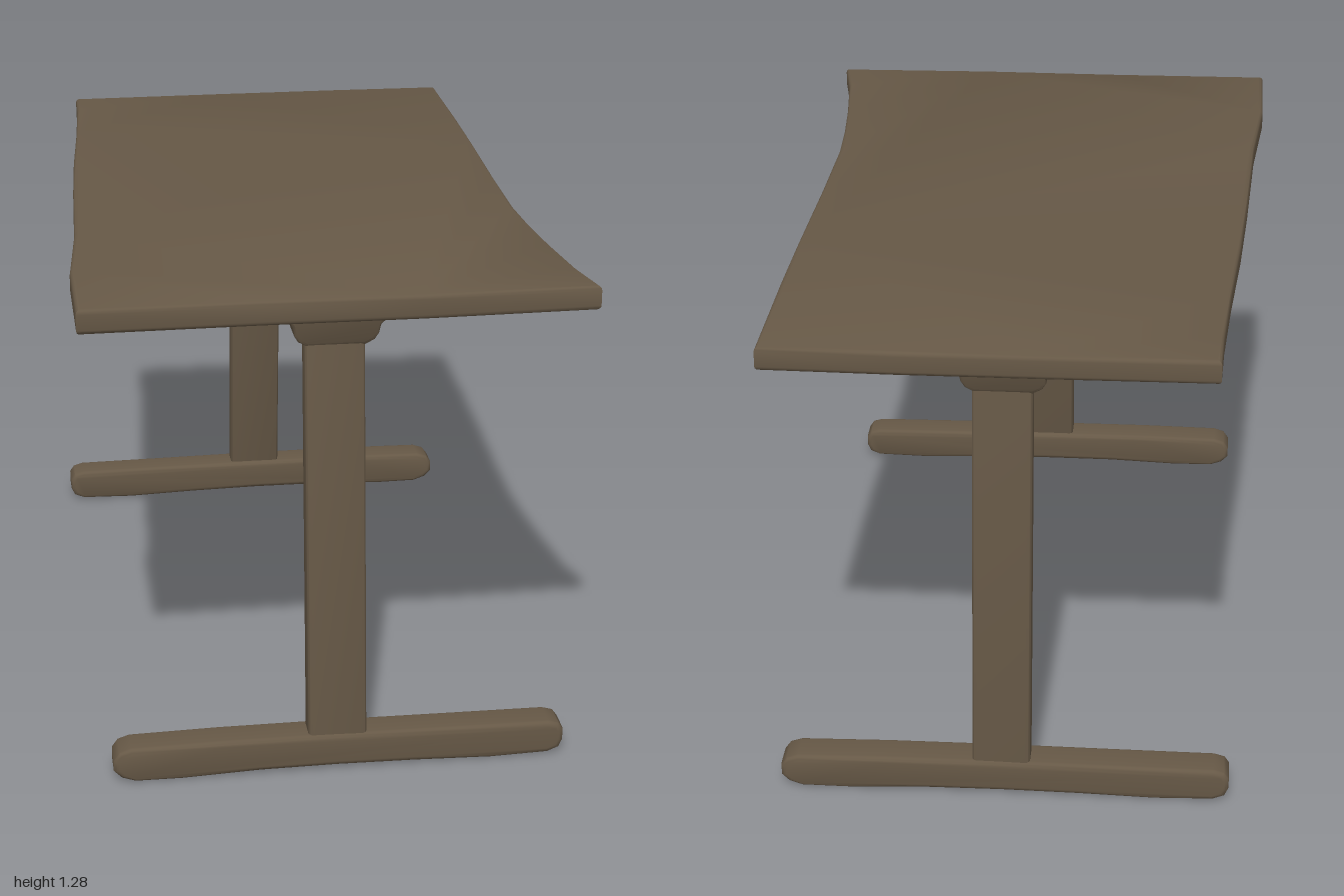
import * as THREE from 'three';
import { toCreasedNormals } from 'three/addons/utils/BufferGeometryUtils.js';
import { RoundedBoxGeometry } from 'three/addons/geometries/RoundedBoxGeometry.js';

const wood = new THREE.MeshStandardMaterial({ color: 0x665846 });
wood.name = 'brown wood';

function part(name, geometry) {
  const mesh = new THREE.Mesh(geometry, wood);
  mesh.name = name;
  return mesh;
}

// Extrudes an outline to a total thickness, centred on z, with rounded edges
function slab(points, thickness, bevel) {
  const shape = new THREE.Shape(points.map(([x, y]) => new THREE.Vector2(x, y)));
  const geometry = new THREE.ExtrudeGeometry(shape, {
    depth: thickness - 2 * bevel, bevelEnabled: true, bevelThickness: bevel,
    bevelSize: bevel, bevelOffset: -bevel, bevelSegments: 4,
  });
  return geometry.translate(0, 0, bevel - thickness / 2);
}

// Moves every vertex by a rule
function deform(geometry, rule) {
  const pos = geometry.attributes.position;
  const v = new THREE.Vector3();
  for (let i = 0; i < pos.count; i++) {
    rule(v.fromBufferAttribute(pos, i));
    pos.setXYZ(i, v.x, v.y, v.z);
  }
  return geometry;
}

const smooth = (geometry) => toCreasedNormals(geometry, 0.7);

// Board with wavy long sides; outline is x, z
function makeTop() {
  const outline = [
    [-0.533, -0.99], [-0.1, -0.997], [0.25, -1], [0.583, -0.997],
    [0.58, -0.6], [0.575, -0.35], [0.565, 0], [0.56, 0.3], [0.567, 0.45], [0.582, 0.63],
    [0.605, 0.83], [0.634, 0.978],
    [0.2, 0.992], [-0.2, 0.992], [-0.637, 1],
    [-0.636, 0.7], [-0.61, 0.4], [-0.592, 0], [-0.575, -0.3], [-0.552, -0.6], [-0.537, -0.85],
  ];
  const geometry = slab(outline, 0.063, 0.012);
  geometry.rotateX(Math.PI / 2).translate(0, 1.254, 0);
  return part('tabletop', smooth(geometry));
}

// One leaning post with its foot and stepped bracket, on the +z side
function makeLeg(name) {
  const leg = new THREE.Group();
  leg.name = name;

  // Post leans inward and thins slightly towards the top
  const post = new RoundedBoxGeometry(0.15, 1.17, 0.074, 3, 0.012);
  post.translate(0, 0.635, 0);
  deform(post, (v) => {
    v.z = v.z * (1.02 - 0.13 * v.y) + 0.93 - 0.086 * v.y;
  });
  leg.add(part('post', smooth(post)));

  // Foot with rounded ends and a gently arched underside
  const foot = slab([
    [-0.575, 0.035], [-0.555, 0.015], [-0.52, 0.003], [-0.4, 0.002], [-0.2, 0.01],
    [0, 0.011], [0.2, 0.008], [0.4, 0.002], [0.55, 0.006], [0.58, 0.018], [0.59, 0.04],
    [0.59, 0.07], [0.578, 0.087], [0.55, 0.095], [0.3, 0.097], [0, 0.1],
    [-0.3, 0.1], [-0.53, 0.096], [-0.56, 0.086], [-0.575, 0.065],
  ], 0.096, 0.014);
  deform(foot, (v) => { v.z += 0.919 - 0.012 * v.x; });
  leg.add(part('foot', smooth(foot)));

  // Bracket flares out in steps below the board
  const bracket = slab([
    [-0.07, 1.12], [0.075, 1.12], [0.098, 1.133], [0.108, 1.15], [0.113, 1.175],
    [0.125, 1.186], [0.142, 1.19], [0.147, 1.205], [0.147, 1.235],
    [-0.137, 1.235], [-0.137, 1.205], [-0.132, 1.19], [-0.115, 1.186],
    [-0.107, 1.175], [-0.102, 1.15], [-0.092, 1.133],
  ], 0.11, 0.008);
  deform(bracket, (v) => {
    const t = THREE.MathUtils.clamp((v.y - 1.12) / 0.08, 0, 1);
    v.z = v.z * (0.72 + 0.3 * t) + 0.826;
  });
  leg.add(part('bracket', smooth(bracket)));
  return leg;
}

export function createModel() {
  const table = new THREE.Group();
  table.name = 'table';
  const backLeg = makeLeg('backLeg');
  backLeg.rotation.y = Math.PI;
  table.add(makeTop(), makeLeg('frontLeg'), backLeg);
  return table;
}
